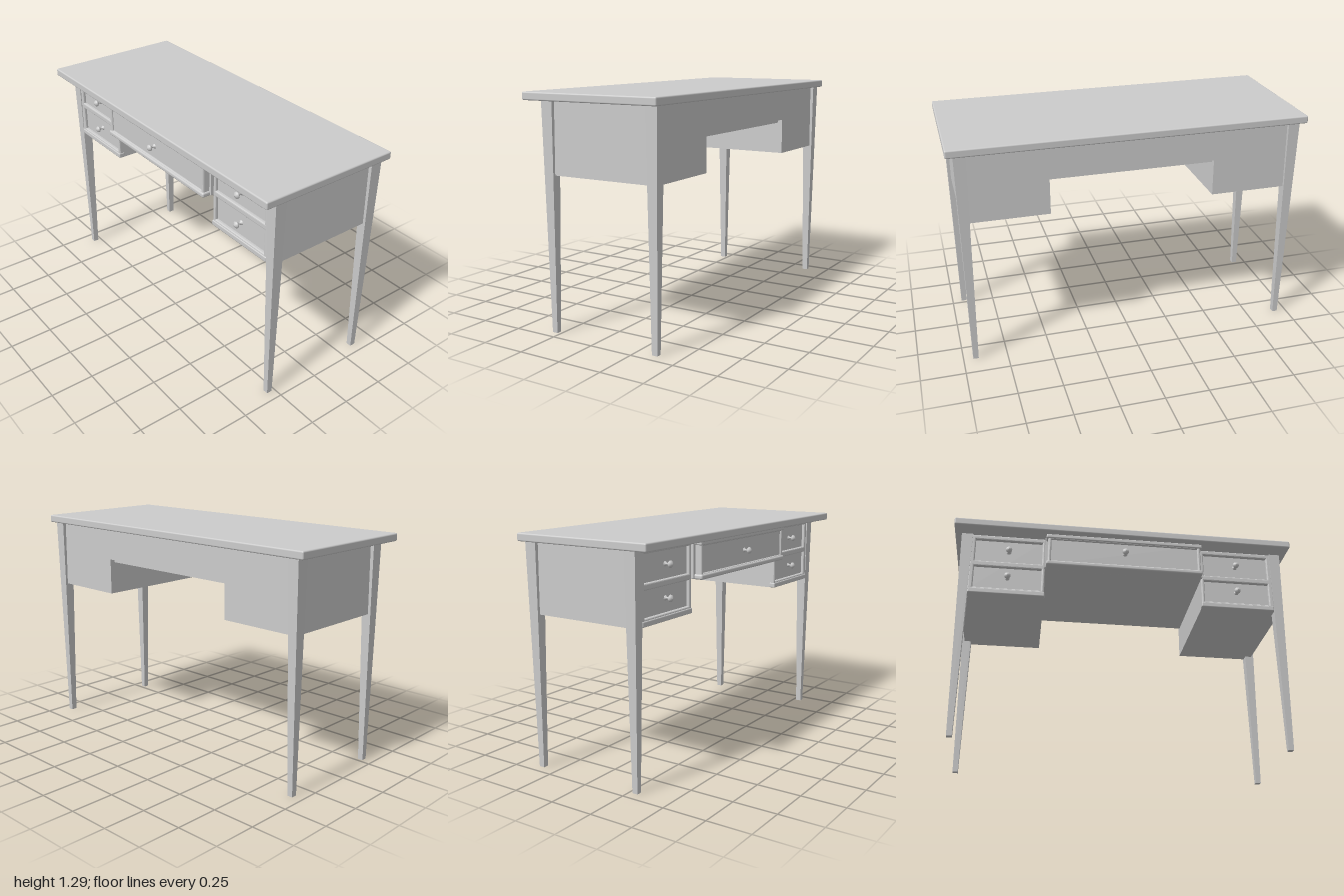
import * as THREE from 'three';
import { RoundedBoxGeometry } from 'three/addons/geometries/RoundedBoxGeometry.js';

const material = new THREE.MeshStandardMaterial({ color: 0xcccccc });

export function createModel() {
  const desk = new THREE.Group();
  desk.name = 'desk';

  const add = (name, geometry, x = 0, y = 0, z = 0) => {
    const mesh = new THREE.Mesh(geometry, material);
    mesh.name = name;
    mesh.position.set(x, y, z);
    desk.add(mesh);
    return mesh;
  };

  // Box given by its limits, with optional rounded edges
  const block = (name, [x0, x1], [y0, y1], [z0, z1], r = 0) => {
    const size = [x1 - x0, y1 - y0, z1 - z0];
    const geometry = r ? new RoundedBoxGeometry(...size, 3, r) : new THREE.BoxGeometry(...size);
    return add(name, geometry, (x0 + x1) / 2, (y0 + y1) / 2, (z0 + z1) / 2);
  };

  // Tapered leg: a box whose lower corners are drawn in
  const leg = (name, topX, topZ, footX, footZ) => {
    const geometry = new THREE.BoxGeometry(1, 1, 1);
    const p = geometry.attributes.position;
    for (let i = 0; i < p.count; i++) {
      const top = p.getY(i) > 0;
      const ix = p.getX(i) > 0 ? 1 : 0;
      const iz = p.getZ(i) > 0 ? 1 : 0;
      p.setXYZ(i, (top ? topX : footX)[ix], top ? 1.25 : 0, (top ? topZ : footZ)[iz]);
    }
    geometry.computeVertexNormals();
    add(name, geometry);
  };

  const rectangle = (path, [x0, x1], [y0, y1]) =>
    path.moveTo(x0, y0).lineTo(x1, y0).lineTo(x1, y1).lineTo(x0, y1).closePath();

  // Front frame with bevelled drawer openings
  const frame = (name, xs, ys, openings, z0, z1) => {
    const b = 0.008;
    const shape = rectangle(new THREE.Shape(), [xs[0] + b, xs[1] - b], [ys[0] + b, ys[1] - b]);
    for (const [hx, hy] of openings) {
      shape.holes.push(rectangle(new THREE.Path(), [hx[0] - b, hx[1] + b], [hy[0] - b, hy[1] + b]));
    }
    add(name, new THREE.ExtrudeGeometry(shape, {
      depth: z1 - z0 - b, bevelEnabled: true, bevelThickness: b, bevelSize: b, bevelSegments: 3,
    }), 0, 0, z0);
  };

  // Turned knob, pointing forward
  const knobProfile = [[0.014, 0], [0.012, 0.004], [0.006, 0.008], [0.005, 0.018], [0.012, 0.024],
    [0.019, 0.031], [0.018, 0.038], [0.01, 0.045], [0, 0.048]].map(([r, y]) => new THREE.Vector2(r, y));
  const knobGeometry = new THREE.LatheGeometry(knobProfile, 20).rotateX(Math.PI / 2);
  const knob = (x, y, z) => add('knob', knobGeometry, x, y, z);

  // Table top
  block('tableTop', [-1, 1], [1.248, 1.292], [-0.415, 0.415], 0.008);

  // Mirrored pedestals and legs
  for (const s of [-1, 1]) {
    const side = s > 0 ? 'left' : 'right';
    const span = (a, b) => (s > 0 ? [a, b] : [-b, -a]);
    block(side + 'Pedestal', span(0.465, 0.94), [0.86, 1.25], [-0.375, 0.295]);
    const opening = span(0.485, 0.875);
    frame(side + 'PedestalFrame', span(0.465, 0.905), [0.86, 1.25],
      [[opening, [0.9, 1.04]], [opening, [1.075, 1.22]]], 0.29, 0.313);
    block(side + 'PedestalMoulding', span(0.462, 0.9), [0.86, 0.89], [0.28, 0.318], 0.006);
    knob(s * 0.68, 0.975, 0.296);
    knob(s * 0.68, 1.15, 0.296);
    leg(side + 'FrontLeg', span(0.895, 0.96), [0.25, 0.32], span(0.915, 0.945), [0.27, 0.302]);
    leg(side + 'BackLeg', span(0.895, 0.96), [-0.395, -0.325], span(0.915, 0.945), [-0.375, -0.342]);
  }

  // Centre drawer case and back apron
  block('centreCase', [-0.47, 0.47], [1.048, 1.25], [-0.345, 0.33]);
  block('backApron', [-0.47, 0.47], [1.068, 1.25], [-0.375, -0.34]);

  // Projecting centre drawer with mouldings
  block('centreDrawer', [-0.45, 0.45], [1.05, 1.245], [0.31, 0.36]);
  frame('centreDrawerFrame', [-0.455, 0.455], [1.05, 1.248], [[[-0.435, 0.435], [1.075, 1.218]]], 0.315, 0.37);
  block('centreTopMoulding', [-0.465, 0.465], [1.224, 1.25], [0.3, 0.376], 0.007);
  block('centreBottomMoulding', [-0.463, 0.463], [1.042, 1.07], [0.3, 0.378], 0.01);
  knob(0, 1.15, 0.362);

  return desk;
}
